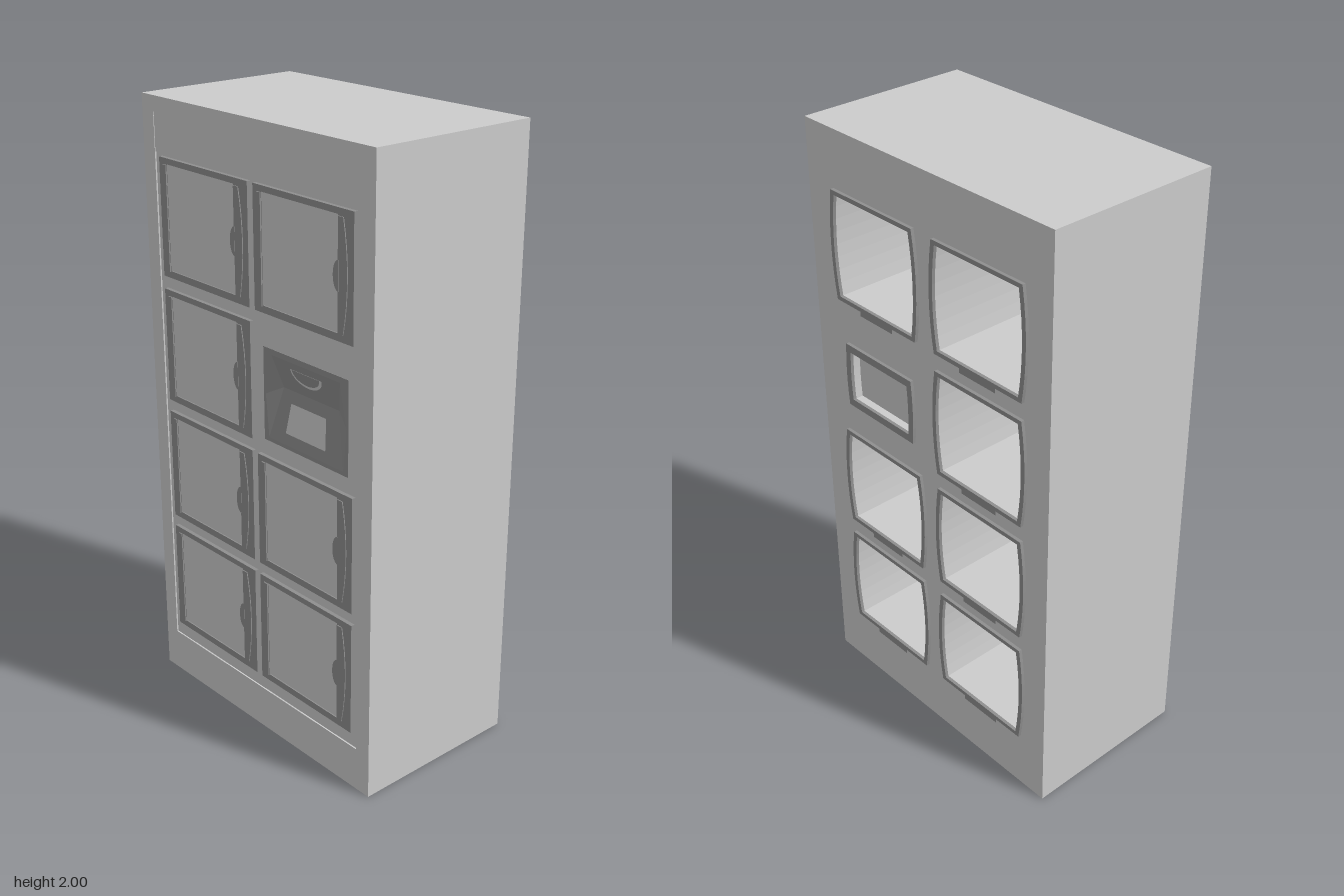
import * as THREE from 'three';

const grey = new THREE.MeshStandardMaterial({ color: 0xcccccc, side: THREE.DoubleSide });
const dark = new THREE.MeshStandardMaterial({ color: 0x8f8f8f, side: THREE.DoubleSide });

const ROWS = [1.634, 1.217, 0.802, 0.387]; // compartment centre heights
const DOOR_X = [-0.2175, 0.2325];
const BACK_X = [-0.2325, 0.2175];
const CONSOLE = { x: 0.2275, y: 1.189 };
const SLOTS = [];
ROWS.forEach((y, r) => [0, 1].forEach(c => { if (!(r === 1 && c === 1)) SLOTS.push([c, y]); }));

// Rectangle centred on (x, y) whose sides may bow outward
function panelShape(x, y, w, h, bow = 0, Type = THREE.Shape) {
  const s = new Type(), a = w / 2, b = h / 2;
  s.moveTo(x - a, y - b);
  s.lineTo(x + a, y - b);
  s.quadraticCurveTo(x + a + 2 * bow, y, x + a, y + b);
  s.lineTo(x - a, y + b);
  s.quadraticCurveTo(x - a - 2 * bow, y, x - a, y - b);
  return s;
}
const hole = (x, y, w, h, bow) => panelShape(x, y, w, h, bow, THREE.Path);

function add(parent, name, geometry, material = grey) {
  const m = new THREE.Mesh(geometry, material);
  m.name = name;
  parent.add(m);
  return m;
}

// Extrude a shape with holes between two depths
function slab(shape, holes, z0, z1) {
  shape.holes.push(...holes);
  const g = new THREE.ExtrudeGeometry(shape, { depth: z1 - z0, bevelEnabled: false, curveSegments: 8 });
  return g.translate(0, 0, z0);
}

// Flat convex face from 3D points
function face(points) {
  const p = [];
  for (let i = 1; i < points.length - 1; i++) p.push(...points[0], ...points[i], ...points[i + 1]);
  const g = new THREE.BufferGeometry();
  g.setAttribute('position', new THREE.Float32BufferAttribute(p, 3));
  g.computeVertexNormals();
  return g;
}

function makeDoor(x, y) {
  const door = new THREE.Group();
  door.name = 'door';
  const w = 0.425, h = 0.375, left = -w / 2;
  add(door, 'doorRim', slab(panelShape(0, 0, w, h), [hole(left + 0.2, 0.002, 0.322, 0.334)], 0.285, 0.298), dark);
  add(door, 'doorPanel', new THREE.BoxGeometry(0.322, 0.334, 0.009).translate(left + 0.2, 0.002, 0.2895));
  add(door, 'hingeBar', slab(panelShape(left + 0.029, 0, 0.016, 0.335), [], 0.298, 0.302), dark);
  // Bowed grip strip along the opening edge
  const grip = new THREE.Shape();
  grip.moveTo(left + 0.364, -0.165);
  grip.lineTo(left + 0.385, -0.165);
  grip.quadraticCurveTo(left + 0.418, 0, left + 0.385, 0.165);
  grip.lineTo(left + 0.364, 0.165);
  add(door, 'gripStrip', slab(grip, [], 0.298, 0.301), dark);
  const pull = new THREE.Shape();
  pull.absellipse(left + 0.367, 0, 0.022, 0.045, Math.PI / 2, Math.PI * 1.5);
  add(door, 'fingerPull', slab(pull, [], 0.29, 0.302), dark);
  door.position.set(x, y, 0);
  return door;
}

function makeRearRim(x, y) {
  const rim = new THREE.Group();
  rim.name = 'rearRim';
  add(rim, 'openingRim', slab(panelShape(x, y, 0.365, 0.36, 0.015), [hole(x, y, 0.337, 0.332, 0.014)], -0.306, -0.295), dark);
  add(rim, 'rimTab', new THREE.BoxGeometry(0.15, 0.018, 0.009).translate(x, y - 0.188, -0.2995), dark);
  return rim;
}

// Recessed console: two slopes meeting at a fold, with a screen on the lower one
function makeConsole() {
  const g = new THREE.Group();
  g.name = 'console';
  const front = 0.286, deep = 0.262, foldY = 1.22, top = 1.32, bottom = 1.053;
  const lowerZ = y => front - (front - deep) * (y - bottom) / (foldY - bottom);
  const upperZ = y => deep + (front - deep) * (y - foldY) / (top - foldY);

  const mouth = [[-0.15, top], [-0.178, 1.19], [-0.165, bottom], [0.165, bottom], [0.178, 1.19], [0.15, top]];
  const mouthPath = new THREE.Path(mouth.map(([x, y]) => new THREE.Vector2(x, y)));
  add(g, 'bezel', slab(panelShape(0, CONSOLE.y, 0.373, 0.297), [mouthPath], 0.26, front), dark);

  const f = 0.122;
  add(g, 'upperSlope', face([[-0.15, top, front], [-f, foldY, deep], [f, foldY, deep], [0.15, top, front]]), dark);
  add(g, 'lowerSlope', face([[-f, foldY, deep], [-0.165, bottom, front], [0.165, bottom, front], [f, foldY, deep]]), dark);
  for (const s of [-1, 1]) {
    const fold = [s * f, foldY, deep], side = [s * 0.178, 1.19, front];
    add(g, 'sideCheek', face([fold, side, [s * 0.15, top, front]]), dark);
    add(g, 'sideCheek', face([fold, [s * 0.165, bottom, front], side]), dark);
  }
  // Screen and surround lie parallel to the lower slope
  const onSlope = (a, y0, b, y1, lift) => face(
    [[-a, y0], [a, y0], [b, y1], [-b, y1]].map(([x, y]) => [x, y, lowerZ(y) + lift]));
  add(g, 'screenSurround', onSlope(0.103, 1.077, 0.087, 1.192, 0.003), dark);
  add(g, 'screen', onSlope(0.088, 1.09, 0.077, 1.184, 0.005));
  // Half-moon grips on the upper slope
  const moon = (rx, ry, lift) => {
    const pts = [];
    for (let i = 0; i <= 14; i++) {
      const t = Math.PI * (1 + i / 14), y = 1.298 + ry * Math.sin(t);
      pts.push([rx * Math.cos(t), y, upperZ(y) + lift]);
    }
    return face(pts);
  };
  add(g, 'halfMoonEdge', moon(0.069, 0.045, 0.002));
  add(g, 'halfMoon', moon(0.06, 0.036, 0.004), dark);
  g.position.x = CONSOLE.x;
  return g;
}

export function createModel() {
  const model = new THREE.Group();
  model.name = 'lockerCabinet';
  const W = 1.036;
  const outline = () => panelShape(0, 1, W, 2);

  // Deep carcass open at the back, then a front skin and a shallow frame
  const holes = SLOTS.map(([c, y]) => hole(BACK_X[c], y, 0.337, 0.332, 0.014));
  holes.push(hole(0.2175, 1.2, 0.27, 0.17, 0.004));
  add(model, 'carcass', slab(outline(), holes, -0.295, 0.26));
  add(model, 'frontSkin', slab(outline(), [hole(CONSOLE.x, CONSOLE.y, 0.373, 0.297)], 0.26, 0.285));
  add(model, 'frontFrame', slab(outline(), [hole(0, 1.0475, 0.924, 1.805)], 0.285, 0.29));
  add(model, 'headerPanel', new THREE.BoxGeometry(0.924, 0.12, 0.003).translate(0, 1.89, 0.2865));

  for (const [c, y] of SLOTS) {
    model.add(makeDoor(DOOR_X[c], y));
    model.add(makeRearRim(BACK_X[c], y));
  }
  model.add(makeConsole());

  // Small service hatch behind the console
  add(model, 'hatchRim', slab(panelShape(0.2175, 1.2, 0.31, 0.22, 0.006), [hole(0.2175, 1.2, 0.27, 0.17, 0.004)], -0.306, -0.295), dark);
  add(model, 'hatchPanel', new THREE.BoxGeometry(0.28, 0.175, 0.01).translate(0.2175, 1.2, -0.265));
  return model;
}
